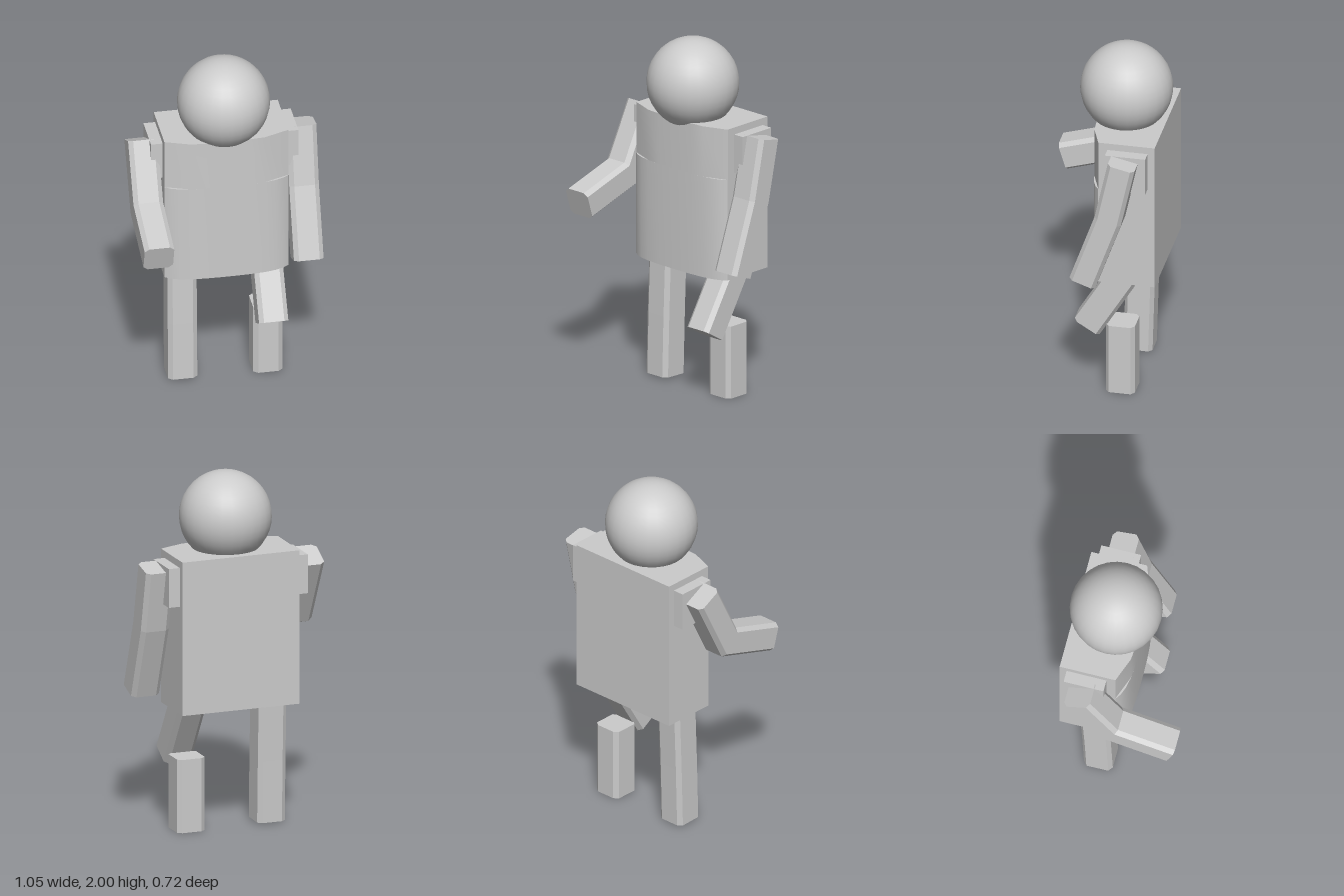
import * as THREE from 'three';
import { toCreasedNormals } from 'three/addons/utils/BufferGeometryUtils.js';

const material = new THREE.MeshStandardMaterial({ color: 0xcccccc });

function add(parent, name, geometry, x = 0, y = 0, z = 0) {
  const mesh = new THREE.Mesh(geometry, material);
  mesh.name = name;
  mesh.position.set(x, y, z);
  parent.add(mesh);
  return mesh;
}

// Bevelled bar swept along a path of [y, z] joints, mitred at each bend
function limbGeometry(path, width, depth) {
  const w = width / 2, d = depth / 2, cx = 0.025, cz = 0.02;
  const section = [
    [w, -d + cz], [w, d - cz], [w - cx, d], [-w + cx, d],
    [-w, d - cz], [-w, -d + cz], [-w + cx, -d], [w - cx, -d],
  ];
  const joints = path.map(([y, z]) => new THREE.Vector2(y, z));
  // Front-facing perpendicular of every bone
  const normals = joints.slice(1).map((p, i) => {
    const t = p.clone().sub(joints[i]).normalize();
    return new THREE.Vector2(t.y, -t.x);
  });
  const rings = joints.map((p, i) => {
    const a = normals[Math.max(i - 1, 0)];
    const b = normals[Math.min(i, normals.length - 1)];
    const n = a.clone().add(b).divideScalar(1 + a.dot(b));
    return section.map(([x, s]) => [x, p.x + n.x * s, p.y + n.y * s]);
  });
  const out = [];
  const tri = (...corners) => corners.forEach((c) => out.push(...c));
  const count = section.length;
  const first = rings[0], last = rings[rings.length - 1];
  for (let i = 0; i < count; i++) {
    const j = (i + 1) % count;
    for (let r = 0; r < rings.length - 1; r++) {
      const t = rings[r], b = rings[r + 1];
      tri(t[i], t[j], b[i]);
      tri(t[j], b[j], b[i]);
    }
    tri([0, ...path[0]], first[j], first[i]);
    tri([0, ...path[path.length - 1]], last[i], last[j]);
  }
  const geometry = new THREE.BufferGeometry();
  geometry.setAttribute('position', new THREE.Float32BufferAttribute(out, 3));
  geometry.computeVertexNormals();
  return geometry;
}

// Upright slab from a mirrored front outline given as [x, z] points
function slab(front, height) {
  const back = -0.335;
  const right = front.map(([x, z]) => [-x, z]).reverse();
  const outline = [[0.345, back], ...front, ...right, [-0.345, back]];
  const shape = new THREE.Shape(outline.map(([x, z]) => new THREE.Vector2(x, -z)));
  const geometry = new THREE.ExtrudeGeometry(shape, { depth: height, bevelEnabled: false });
  geometry.rotateX(-Math.PI / 2);
  return toCreasedNormals(geometry, 0.45);
}

export function createModel() {
  const model = new THREE.Group();
  model.name = 'figure';

  // Head
  add(model, 'head', new THREE.SphereGeometry(0.255, 28, 20), 0, 1.745, -0.105);

  // Torso: rounded front below, flat corner cuts at the chest top
  const torso = new THREE.Group();
  torso.name = 'torso';
  model.add(torso);
  const belly = [[0.345, -0.018], [0.315, 0.003], [0.27, 0.02], [0.21, 0.032], [0.12, 0.038], [0.04, 0.04]];
  const chest = [[0.345, -0.02], [0.205, 0.032], [0.12, 0.038], [0.04, 0.04]];
  add(torso, 'lowerTorso', slab(belly, 0.58), 0, 0.70, 0);
  add(torso, 'upperTorso', slab(chest, 0.29), 0, 1.28, 0);

  // Shoulder blocks
  for (const [name, side] of [['leftShoulder', 1], ['rightShoulder', -1]]) {
    add(model, name, new THREE.BoxGeometry(0.09, 0.22, 0.225), side * 0.365, 1.42, -0.183);
  }

  // Arms: the left hangs, the right reaches forward
  const leftArm = [[1.514, -0.18], [1.17, -0.105], [0.77, 0.037]];
  const rightArm = [[1.495, -0.195], [1.156, -0.022], [1.048, 0.333]];
  add(model, 'leftArm', limbGeometry(leftArm, 0.165, 0.152), 0.438);
  add(model, 'rightArm', limbGeometry(rightArm, 0.165, 0.163), -0.442);

  // Legs: the left thigh swings forward, clear of its shin
  const leftThigh = [[0.76, -0.175], [0.387, 0.052]];
  const leftShin = [[0.415, -0.133], [0, -0.133]];
  const rightLeg = [[0.76, -0.155], [0.36, -0.14], [0.01, -0.13]];
  add(model, 'leftThigh', limbGeometry(leftThigh, 0.163, 0.163), 0.24);
  add(model, 'leftShin', limbGeometry(leftShin, 0.163, 0.163), 0.24);
  add(model, 'rightLeg', limbGeometry(rightLeg, 0.163, 0.163), -0.234);

  return model;
}
